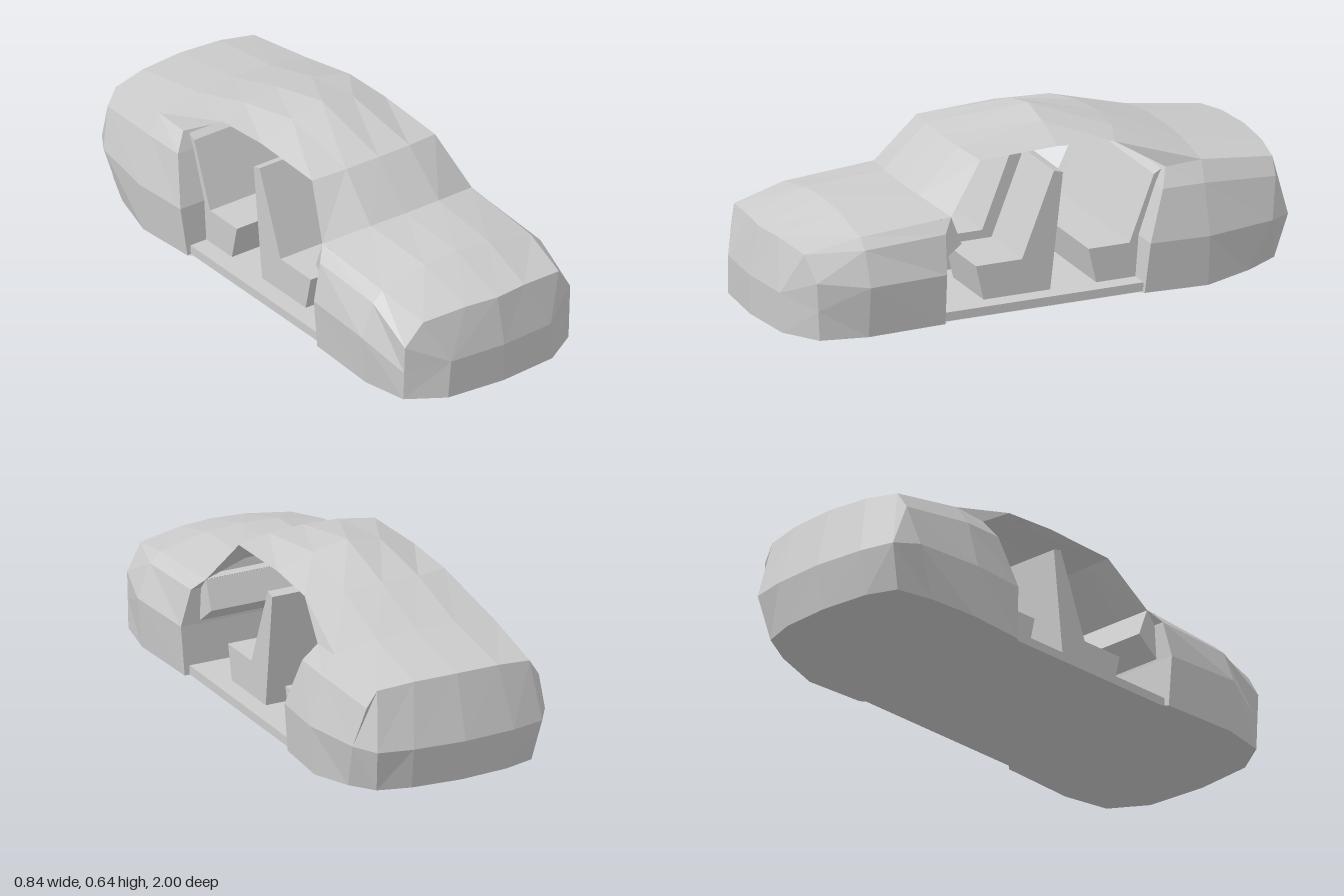
import * as THREE from 'three';

const material = new THREE.MeshStandardMaterial({ color: 0xcccccc, flatShading: true, side: THREE.DoubleSide });

// Mesh from convex polygons, given for the +x half and mirrored to -x
function mirrored(name, polygons) {
  const pos = [];
  const fan = (p) => {
    for (let i = 1; i < p.length - 1; i++) pos.push(...p[0], ...p[i], ...p[i + 1]);
  };
  for (const p of polygons) {
    fan(p);
    fan(p.map(([x, y, z]) => [-x, y, z]).reverse());
  }
  const geo = new THREE.BufferGeometry();
  geo.setAttribute('position', new THREE.Float32BufferAttribute(pos, 3));
  geo.computeVertexNormals();
  const mesh = new THREE.Mesh(geo, material);
  mesh.name = name;
  return mesh;
}

// Quads between two rows of points, front row first
function strip(a, b) {
  const out = [];
  for (let i = 0; i < a.length - 1; i++) out.push([a[i], a[i + 1], b[i + 1], b[i]]);
  return out;
}

// Side profile of [z, y] points extruded across x0..x1
function prism(name, profile, x0, x1) {
  const shape = new THREE.Shape(profile.map(([z, y]) => new THREE.Vector2(-z, y)));
  const geo = new THREE.ExtrudeGeometry(shape, { depth: x1 - x0, bevelEnabled: false });
  geo.rotateY(Math.PI / 2).translate(x0, 0, 0);
  const mesh = new THREE.Mesh(geo, material);
  mesh.name = name;
  return mesh;
}

export function createModel() {
  const car = new THREE.Group();
  car.name = 'car';

  // Half cross-sections: centre, inner, top edge, shoulder, belly, sill
  const nose = [[0, 0.325, 0.96], [0.13, 0.325, 0.945], [0.3, 0.308, 0.92], [0.365, 0.215, 0.9], [0.365, 0.11, 0.895], [0.365, 0, 0.89]];
  const hood = [[0, 0.4, 0.715], [0.14, 0.392, 0.715], [0.328, 0.352, 0.715], [0.37, 0.315, 0.715], [0.42, 0.19, 0.715], [0.402, 0, 0.715]];
  const cowl = [[0, 0.41, 0.41], [0.15, 0.408, 0.405], [0.33, 0.377, 0.36], [0.37, 0.33, 0.4], [0.405, 0.19, 0.41], [0.39, 0, 0.41]];
  const roofFront = [[0, 0.566, 0.25], [0.14, 0.563, 0.245], [0.272, 0.55, 0.22]];
  const roofTop = [[0, 0.637, -0.09], [0.135, 0.61, -0.085], [0.274, 0.561, -0.08]];
  const roofRear = [[0, 0.567, -0.36], [0.15, 0.56, -0.35], [0.28, 0.548, -0.3]];
  const fender = [[0.322, 0.44, -0.48], [0.368, 0.375, -0.45], [0.405, 0.19, -0.385], [0.385, 0, -0.37]];
  const deck = [[0, 0.482, -0.62], [0.16, 0.477, -0.62], [0.325, 0.448, -0.62], [0.372, 0.375, -0.61], [0.42, 0.19, -0.61], [0.402, 0, -0.61]];
  const tail = [[0, 0.432, -0.935], [0.17, 0.428, -0.925], [0.305, 0.412, -0.905], [0.345, 0.35, -0.9], [0.385, 0.2, -0.87], [0.362, 0.018, -0.79]];

  // Bumper rows, centre outwards
  const noseMid = [[0, 0.15, 1], [0.22, 0.147, 0.98]];
  const noseLow = [[0, 0, 0.995], [0.23, 0, 0.975]];
  const tailMid = [[0, 0.195, -1], [0.2, 0.195, -0.985], [0.33, 0.195, -0.955]];
  const tailLow = [[0, 0.035, -0.965], [0.19, 0.035, -0.95], [0.31, 0.032, -0.91]];

  // Front body: bonnet, wings and bumper
  const [n0, n1] = noseMid, [l0, l1] = noseLow;
  car.add(mirrored('frontBody', [...strip(nose, hood), ...strip(hood, cowl)]));
  car.add(mirrored('frontBumper', [
    [n0, n1, nose[1], nose[0]], [n1, nose[2], nose[1]], [n1, nose[3], nose[2]],
    [n1, nose[4], nose[3]], [l1, nose[5], nose[4], n1], [l0, l1, n1, n0],
  ]));

  // Windscreen, roof and rear window
  car.add(mirrored('windscreen', strip(cowl.slice(0, 3), roofFront)));
  car.add(mirrored('roof', [...strip(roofFront, roofTop), ...strip(roofTop, roofRear)]));
  car.add(mirrored('rearWindow', [
    ...strip(roofRear, deck.slice(0, 3)), [roofRear[2], fender[0], deck[2]],
  ]));

  // Rear body: boot lid, wings and bumper
  car.add(mirrored('rearBody', [...strip(fender, deck.slice(2)), ...strip(deck, tail)]));
  const [t0, t1, t2] = tailMid, [b0, b1, b2] = tailLow;
  car.add(mirrored('rearBumper', [
    [tail[0], tail[1], t1, t0], [tail[1], tail[2], t2, t1], [tail[2], tail[3], tail[4], t2],
    [tail[4], tail[5], b2, t2], [t0, t1, b1, b0], [t1, t2, b2, b1],
  ]));

  // Bulkheads closing both ends of the cabin
  const wall = (edge) => strip(edge, edge.map(([, y, z]) => [0, y, z]));
  car.add(mirrored('firewall', wall(cowl.slice(2))));
  car.add(mirrored('rearBulkhead', wall(fender)));

  // Underside
  const sills = [l1, nose[5], hood[5], cowl[5], [0.37, 0, 0.39], [0.37, 0, -0.35], fender[3], deck[5], tail[5], b2, b1];
  const middle = sills.map(([, y, z]) => [0, y, z]);
  car.add(mirrored('underside', [
    ...strip(middle, sills), [l0, middle[0], l1], [b0, b1, middle[middle.length - 1]],
  ]));

  // Cabin floor, dashboard and seats
  car.add(prism('floor', [[0.41, 0.002], [0.41, 0.035], [-0.375, 0.035], [-0.375, 0.002]], -0.37, 0.37));
  car.add(prism('dashboard', [[0.41, 0.2], [0.32, 0.27], [0.36, 0.375], [0.405, 0.375]], -0.33, 0.33));
  const seat = [[0.22, 0.035], [0.25, 0.165], [0.07, 0.165], [-0.055, 0.48], [-0.09, 0.47], [-0.04, 0.035]];
  car.add(prism('leftFrontSeat', seat, 0.04, 0.3));
  car.add(prism('rightFrontSeat', seat, -0.3, -0.04));
  car.add(prism('rearSeat', [
    [-0.22, 0.035], [-0.19, 0.165], [-0.35, 0.165], [-0.445, 0.41], [-0.48, 0.43], [-0.38, 0.035],
  ], -0.3, 0.3));

  return car;
}
